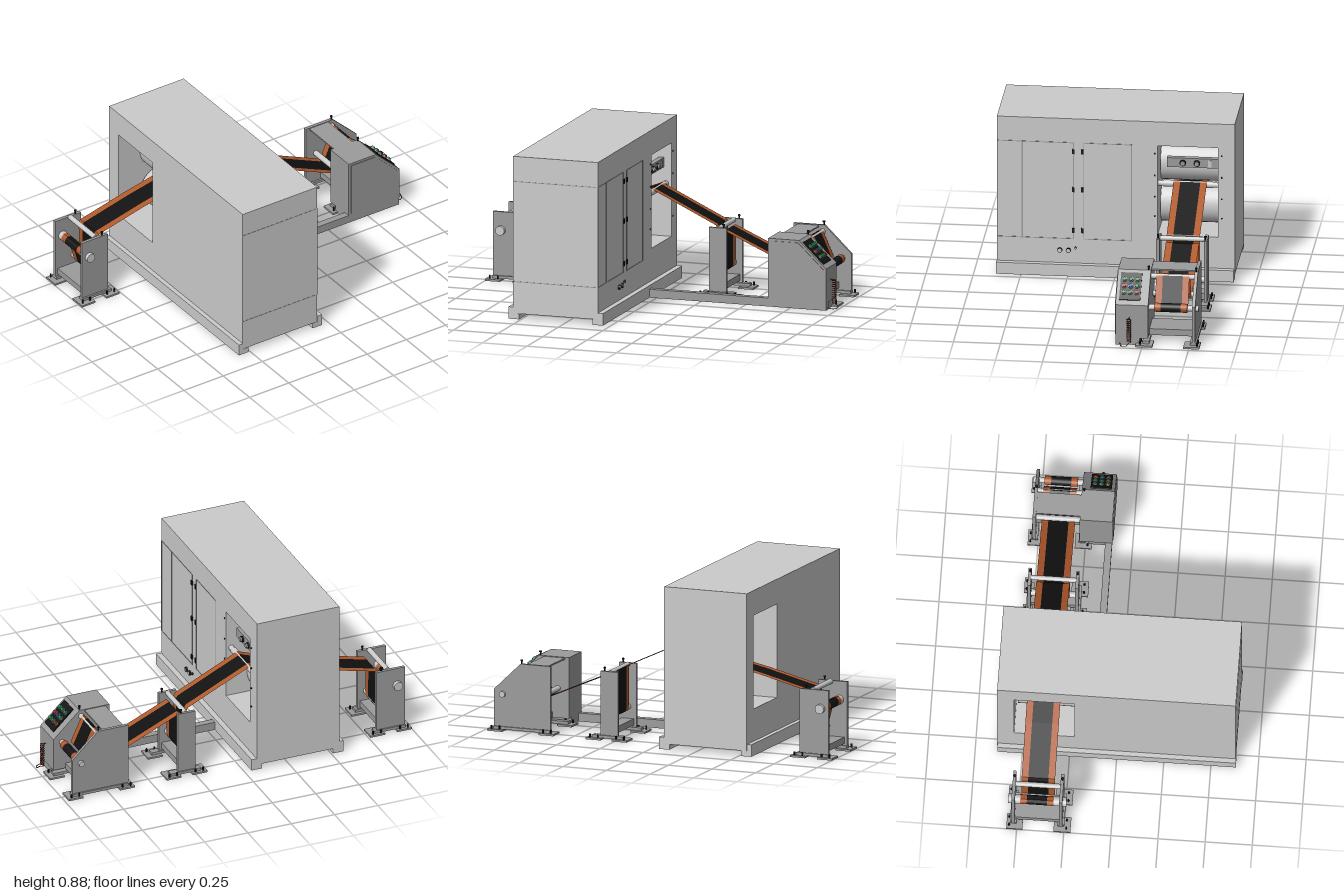
import * as THREE from 'three';

const material = (color, extra = {}) => new THREE.MeshStandardMaterial({ color, ...extra });
const GREY = material(0xcccccc), STEEL = material(0x9c9c9c), BLACK = material(0x151515);
const RUST = material(0xb05a2c), GREEN = material(0x1f9a50), RED = material(0xc03020), BLUE = material(0x2a4a9c);
const BELT = material(0x111111, { side: THREE.DoubleSide });
const BELT_EDGE = material(0xb05a2c, { side: THREE.DoubleSide });
const CORD = material(0x7a2a18);

export function createModel() {
  const root = new THREE.Group();

  function add(name, geometry, mat, parent = root) {
    const mesh = new THREE.Mesh(geometry, mat);
    mesh.name = name;
    parent.add(mesh);
    return mesh;
  }
  // Box given by its limits
  function box(name, x0, x1, y0, y1, z0, z1, mat = GREY, parent = root) {
    const m = add(name, new THREE.BoxGeometry(x1 - x0, y1 - y0, z1 - z0), mat, parent);
    m.position.set((x0 + x1) / 2, (y0 + y1) / 2, (z0 + z1) / 2);
    return m;
  }
  // Cylinder along the z axis
  function roller(name, x, y, r, z0, z1, mat = GREY, parent = root) {
    const g = new THREE.CylinderGeometry(r, r, z1 - z0, 32).rotateX(Math.PI / 2);
    const m = add(name, g, mat, parent);
    m.position.set(x, y, (z0 + z1) / 2);
    return m;
  }
  // Short cylinder along the x axis
  function stud(name, x, y, z, r, depth, mat = BLACK, parent = root) {
    const m = add(name, new THREE.CylinderGeometry(r, r, depth, 20).rotateZ(Math.PI / 2), mat, parent);
    m.position.set(x, y, z);
    return m;
  }
  // Side profile in x and y, extruded along z
  function profile(name, points, z0, z1, mat = STEEL, parent = root) {
    const shape = new THREE.Shape(points.map(p => new THREE.Vector2(...p)));
    const m = add(name, new THREE.ExtrudeGeometry(shape, { depth: z1 - z0, bevelEnabled: false }), mat, parent);
    m.position.z = z0;
    return m;
  }

  // Cabinet with the passage for the belt
  const cabinet = new THREE.Group();
  cabinet.name = 'cabinet';
  root.add(cabinet);
  const rect = (Type, a, b, c, d) => new Type([[a, c], [b, c], [b, d], [a, d]].map(p => new THREE.Vector2(...p)));
  const wall = rect(THREE.Shape, -0.63, 0.635, 0.03, 0.88);
  wall.holes.push(rect(THREE.Path, 0.225, 0.545, 0.24, 0.745));
  const shell = new THREE.ExtrudeGeometry(wall, { depth: 0.475, bevelEnabled: false }).rotateY(Math.PI / 2);
  add('cabinetShell', shell, GREY, cabinet).position.x = -0.545;

  // Angle rails beneath the cabinet
  for (const [outer, foot] of [[[-0.57, -0.545], [-0.57, -0.51]], [[-0.07, -0.04], [-0.1, -0.04]]]) {
    box('railUpright', ...outer, 0, 0.065, -0.632, 0.632, GREY, cabinet);
    box('railFoot', ...foot, 0, 0.03, -0.632, 0.632, GREY, cabinet);
  }

  // Door seams, hinges and front seams
  function doorFrame(z0, z1) {
    for (const y of [0.2, 0.742]) box('doorSeam', -0.071, -0.068, y, y + 0.004, z0, z1, STEEL, cabinet);
    for (const z of [z0, z1 - 0.004]) box('doorSeam', -0.071, -0.068, 0.2, 0.745, z, z + 0.004, STEEL, cabinet);
  }
  doorFrame(0.22, 0.495);
  doorFrame(0.495, 0.63);
  doorFrame(-0.088, 0.17);
  for (const y of [0.2, 0.742]) box('frontSeam', -0.545, -0.08, y, y + 0.004, 0.628, 0.631, STEEL, cabinet);
  for (const z of [0.223, 0.175])
    for (const y of [0.695, 0.48, 0.25]) box('hinge', -0.071, -0.064, y - 0.013, y + 0.013, z - 0.007, z + 0.007, BLACK, cabinet);
  for (const [z, y, r] of [[0.295, 0.137, 0.013], [0.25, 0.137, 0.013], [0.212, 0.152, 0.006]]) {
    stud('socketRim', -0.066, y, z, r, 0.012, BLACK, cabinet);
    stud('socketFace', -0.065, y, z, r * 0.8, 0.012, GREY, cabinet);
  }
  for (const z of [-0.21, -0.565])
    for (const y of [0.7, 0.577, 0.457, 0.347]) stud('windowBolt', -0.069, y, z, 0.004, 0.008, BLACK, cabinet);

  // Drums and instrument bar in the passage
  roller('upperDrum', -0.3, 0.59, 0.11, -0.543, -0.227, GREY, cabinet);
  roller('lowerDrum', -0.3, 0.355, 0.11, -0.535, -0.227, GREY, cabinet);
  roller('guideRoller', -0.1, 0.525, 0.015, -0.545, -0.225, GREY, cabinet);
  roller('guideRollerSleeve', -0.1, 0.525, 0.018, -0.515, -0.255, GREY, cabinet);
  box('instrumentBar', -0.14, -0.11, 0.613, 0.665, -0.545, -0.27, STEEL, cabinet);
  for (const z of [-0.355, -0.43]) {
    stud('knobRim', -0.106, 0.639, z, 0.017, 0.01, BLACK, cabinet);
    stud('knob', -0.1, 0.639, z, 0.013, 0.016, STEEL, cabinet);
  }
  box('instrumentSwitch', -0.112, -0.105, 0.619, 0.658, -0.508, -0.49, GREY, cabinet);

  // Feet and clamp screws of one stand
  function base(x0, x1, screwX, parent) {
    for (const [z0, z1, plate] of [[-0.555, -0.47, -0.52], [-0.305, -0.215, -0.268]]) {
      for (const a of [x0, x1 - 0.085]) {
        box('footPlate', a, a + 0.085, 0, 0.01, z0, z1, STEEL, parent);
        for (const dx of [0.02, 0.065]) {
          const bolt = add('footBolt', new THREE.CylinderGeometry(0.005, 0.005, 0.025, 10), BLACK, parent);
          bolt.position.set(a + dx, 0.016, plate + (plate < -0.4 ? -0.022 : 0.03));
        }
      }
      box('footBridge', x0 + 0.03, x1 - 0.03, 0.01, 0.025, plate - 0.018, plate + 0.018, STEEL, parent);
      const screw = add('clampScrew', new THREE.CylinderGeometry(0.004, 0.004, 0.05, 10), BLACK, parent);
      screw.position.set(screwX, 0.367, plate);
      const head = add('clampHead', new THREE.CylinderGeometry(0.007, 0.007, 0.007, 10), BLACK, parent);
      head.position.set(screwX, 0.388, plate);
    }
  }
  const PLATES = [[-0.53, -0.513], [-0.277, -0.26]];
  function stand(name, x0, x1, f0, f1, y0) {
    const g = new THREE.Group();
    g.name = name;
    root.add(g);
    for (const [z0, z1] of PLATES) box('sidePlate', x0, x1, y0, 0.37, z0, z1, STEEL, g);
    const mid = (x0 + x1) / 2;
    box('crossTray', x0 + 0.015, x1 - 0.015, 0.035, 0.07, -0.513, -0.277, STEEL, g);
    base(f0, f1, mid + (x1 - x0) * 0.3, g);
    return g;
  }
  const rear = stand('feedStand', -0.97, -0.805, -1, -0.76, 0.02);
  roller('topRoller', -0.875, 0.365, 0.014, -0.515, -0.275, GREY, rear);
  roller('dipRoller', -0.855, 0.125, 0.016, -0.515, -0.275, GREY, rear);
  roller('feedShaft', -0.925, 0.27, 0.025, -0.55, -0.24, GREY, rear);
  const middle = stand('dipStand', 0.24, 0.34, 0.18, 0.415, 0.025);
  roller('topRoller', 0.29, 0.362, 0.013, -0.515, -0.275, GREY, middle);
  roller('dipRoller', 0.29, 0.135, 0.018, -0.515, -0.275, GREY, middle);

  // Console, its far plate and the beam to the cabinet
  const desk = new THREE.Group();
  desk.name = 'console';
  root.add(desk);
  const outline = [[0.627, 0.04], [0.95, 0.04], [0.95, 0.225], [0.8, 0.37], [0.627, 0.37]];
  profile('consoleBody', outline, -0.28, -0.106, STEEL, desk);
  profile('consoleCover', [[0.642, 0.055], [0.938, 0.055], [0.938, 0.22], [0.795, 0.357], [0.642, 0.357]], -0.107, -0.102, STEEL, desk);
  box('consolePlinth', 0.63, 0.945, 0, 0.04, -0.235, -0.11, STEEL, desk);
  profile('farPlate', outline.map(([x, y]) => [x, y < 0.1 ? 0.025 : y]), -0.53, -0.513, STEEL, desk);
  box('hood', 0.65, 0.77, 0.358, 0.366, -0.52, -0.28, STEEL, desk);
  box('crossTray', 0.72, 0.88, 0.035, 0.07, -0.513, -0.28, STEEL, desk);
  base(0.6, 0.98, 0.795, desk);
  box('connectingBeam', -0.04, 0.95, 0, 0.045, -0.145, -0.108, STEEL);
  roller('lowerRoller', 0.69, 0.2, 0.015, -0.515, -0.28, GREY, desk);
  roller('upperRoller', 0.79, 0.335, 0.015, -0.515, -0.28, GREY, desk);
  roller('windingShaft', 0.9, 0.2, 0.016, -0.545, -0.28, GREY, desk);

  // Sloping button panel
  const panel = new THREE.Group();
  panel.name = 'buttonPanel';
  panel.position.set(0.872, 0.3, -0.18);
  panel.rotation.z = -Math.atan2(0.145, 0.15);
  desk.add(panel);
  box('panelPlate', -0.08, 0.08, 0, 0.007, -0.056, 0.056, BLACK, panel);
  const colors = [[GREEN, GREEN, GREEN], [RED, BLUE, GREEN], [GREEN, GREEN, RED]];
  colors.forEach((row, i) => row.forEach((mat, j) => {
    const collar = add('buttonCollar', new THREE.CylinderGeometry(0.013, 0.013, 0.008, 16), STEEL, panel);
    collar.position.set((i - 1) * 0.038, 0.009, (1 - j) * 0.034);
    const button = add('button', new THREE.CylinderGeometry(0.01, 0.01, 0.014, 16), mat, panel);
    button.position.set((i - 1) * 0.038, 0.013, (1 - j) * 0.034);
  }));

  // Coiled cord on the console end
  const coil = [new THREE.Vector3(0.95, 0.155, -0.18)];
  for (let i = 0; i <= 120; i++) {
    const a = i / 10 * Math.PI * 2;
    coil.push(new THREE.Vector3(0.972 + Math.cos(a) * 0.01, 0.155 - i * 0.0011, -0.18 + Math.sin(a) * 0.01));
  }
  coil.push(new THREE.Vector3(0.998, 0.012, -0.17), new THREE.Vector3(0.985, 0.006, -0.14), new THREE.Vector3(0.95, 0.01, -0.13));
  add('coiledCord', new THREE.TubeGeometry(new THREE.CatmullRomCurve3(coil), 500, 0.0022, 5), CORD, desk);

  // Belt: a ribbon with two coloured edges
  const path = [[-0.95, 0.27], [-0.947, 0.285], [-0.935, 0.297], [-0.915, 0.294], [-0.875, 0.135], [-0.868, 0.112], [-0.855, 0.106],
    [-0.842, 0.112], [-0.838, 0.13], [-0.84, 0.335], [-0.83, 0.35], [-0.545, 0.42], [-0.3, 0.472], [-0.115, 0.538], [-0.1, 0.545],
    [-0.085, 0.537], [0.262, 0.373], [0.27, 0.36], [0.27, 0.135], [0.276, 0.12], [0.29, 0.115], [0.304, 0.12], [0.31, 0.135],
    [0.31, 0.345], [0.32, 0.342], [0.67, 0.187], [0.69, 0.182], [0.705, 0.19], [0.775, 0.345], [0.79, 0.353], [0.803, 0.343], [0.863, 0.21]];
  function ribbon(name, z0, z1, mat) {
    const g = new THREE.PlaneGeometry(1, 1, path.length - 1, 1);
    const p = g.attributes.position;
    path.forEach(([x, y], i) => {
      p.setXYZ(i, x, y, z0);
      p.setXYZ(i + path.length, x, y, z1);
    });
    const flat = g.toNonIndexed();
    flat.computeVertexNormals();
    add(name, flat, mat);
  }
  const bands = [[-0.485, -0.45, 'beltEdge', BELT_EDGE, RUST], [-0.45, -0.343, 'beltCentre', BELT, BLACK], [-0.343, -0.308, 'beltEdge', BELT_EDGE, RUST]];
  for (const [z0, z1, name, mat, solid] of bands) {
    ribbon(name, z0, z1, mat);
    roller('woundBelt', 0.9, 0.2, 0.024, z0, z1, solid);
    roller('feedRoll', -0.925, 0.27, 0.0255, z0, z1, solid);
  }
  return root;
}
